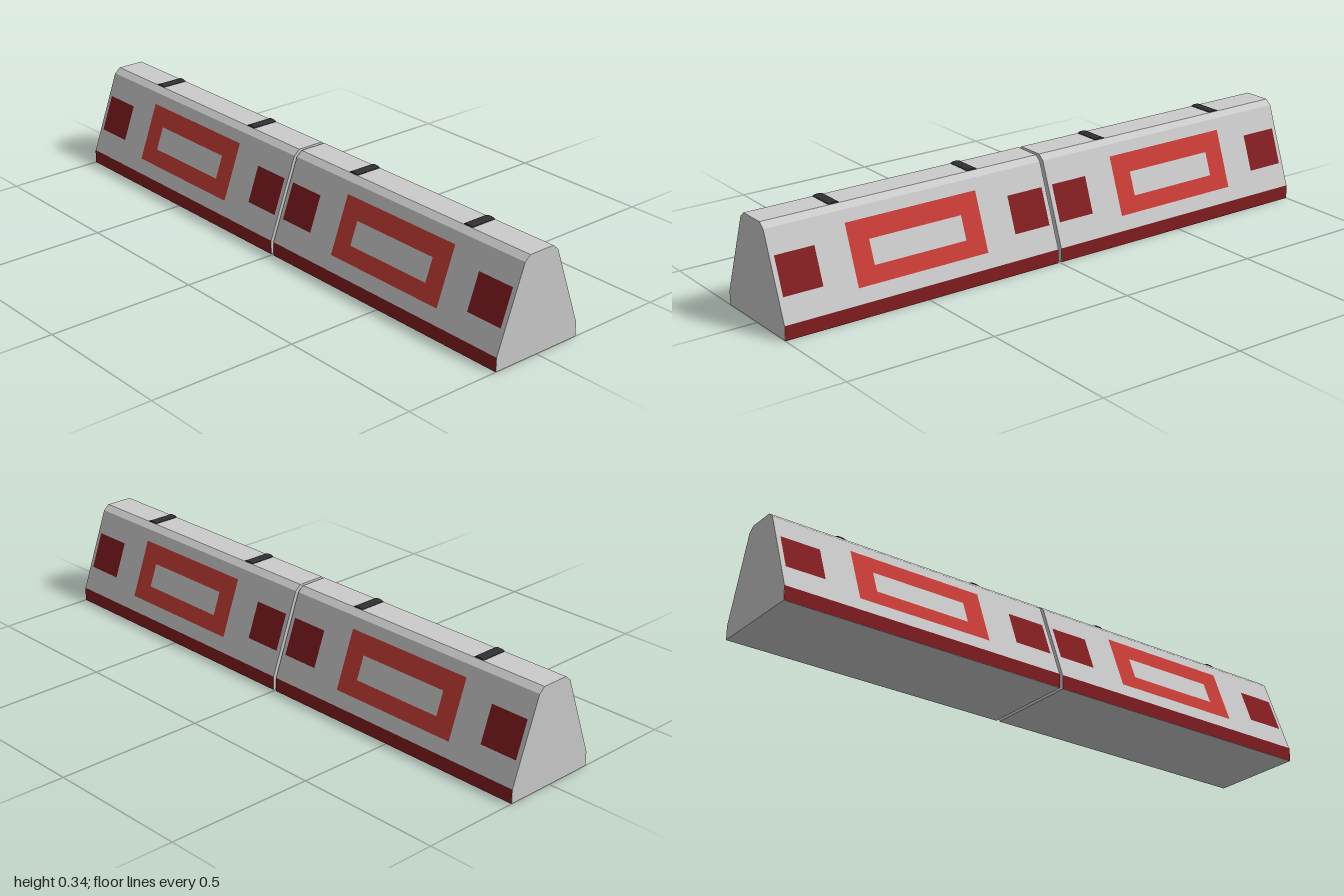
import * as THREE from 'three';

const mat = (name, color) => {
  const m = new THREE.MeshStandardMaterial({ color });
  m.name = name;
  return m;
};

// Barrier cross-section: half widths and heights
const BASE_Z = 0.165, BASE_Y = 0.047, SHOULDER_Z = 0.067, SHOULDER_Y = 0.315;
const TOP_Z = 0.047, TOP_Y = 0.332;
const X0 = 0.006, X1 = 1, LENGTH = X1 - X0, MID = (X0 + X1) / 2;
const LIFT = 0.0012;

// Depth of the outer face at height y
function faceZ(y) {
  if (y <= BASE_Y) return BASE_Z;
  return BASE_Z + (SHOULDER_Z - BASE_Z) * (y - BASE_Y) / (SHOULDER_Y - BASE_Y);
}

function rect(Type, x0, x1, y0, y1) {
  return new Type([[x0, y0], [x1, y0], [x1, y1], [x0, y1]].map(([x, y]) => new THREE.Vector2(x, y)));
}

// Lays a flat painted shape onto the front face
function paint(shape, material, name) {
  const geo = new THREE.ShapeGeometry(shape);
  const p = geo.attributes.position;
  for (let i = 0; i < p.count; i++) p.setZ(i, faceZ(p.getY(i)) + LIFT);
  geo.computeVertexNormals();
  const mesh = new THREE.Mesh(geo, material);
  mesh.name = name;
  return mesh;
}

export function createModel() {
  const concrete = mat('concrete grey', 0xcbcbcb);
  const red = mat('bright red', 0xc83c35);
  const darkRed = mat('dark red', 0x821d20);
  const black = mat('lifting loop black', 0x303034);

  const model = new THREE.Group();
  model.name = 'roadBarrier';

  // Solid concrete block profile, extruded along x
  const half = [[BASE_Z, 0], [BASE_Z, BASE_Y], [SHOULDER_Z, SHOULDER_Y], [TOP_Z, TOP_Y]];
  const outline = [...half, ...half.map(([z, y]) => [-z, y]).reverse()];
  const profile = new THREE.Shape(outline.map(([z, y]) => new THREE.Vector2(z, y)));
  const blockGeo = new THREE.ExtrudeGeometry(profile, { depth: LENGTH, bevelEnabled: false });
  blockGeo.translate(0, 0, -LENGTH / 2).rotateY(-Math.PI / 2);

  // Low faceted bar lying across the top
  const loopGeo = new THREE.CylinderGeometry(0.019, 0.019, 0.092, 8).toNonIndexed();
  loopGeo.rotateX(Math.PI / 2).rotateZ(Math.PI / 8).scale(1, 0.29, 1);
  loopGeo.computeVertexNormals();

  for (const side of [-1, 1]) {
    const segment = new THREE.Group();
    segment.name = side > 0 ? 'leftSegment' : 'rightSegment';
    segment.position.x = side * MID;

    const block = new THREE.Mesh(blockGeo, concrete);
    block.name = 'block';
    segment.add(block);

    for (const turn of [0, Math.PI]) {
      const face = new THREE.Group();
      face.name = turn ? 'backPaint' : 'frontPaint';
      face.rotation.y = turn;

      // Rectangular frame with an open centre
      const frame = rect(THREE.Shape, -0.235, 0.235, 0.093, 0.279);
      frame.holes.push(rect(THREE.Path, -0.166, 0.166, 0.144, 0.219));
      face.add(paint(frame, red, 'frame'));

      // Squares near both ends
      for (const s of [-1, 1]) {
        const c = s * 0.415;
        face.add(paint(rect(THREE.Shape, c - 0.067, c + 0.067, 0.124, 0.24), darkRed, 'endSquare'));
      }

      // Stripe along the foot
      face.add(paint(rect(THREE.Shape, -LENGTH / 2, LENGTH / 2, 0, BASE_Y), darkRed, 'footStripe'));
      segment.add(face);
    }

    // Lifting loops on top
    for (const s of [-1, 1]) {
      const loop = new THREE.Mesh(loopGeo, black);
      loop.name = 'liftingLoop';
      loop.position.set(s * 0.249, TOP_Y, 0);
      segment.add(loop);
    }
    model.add(segment);
  }
  return model;
}
